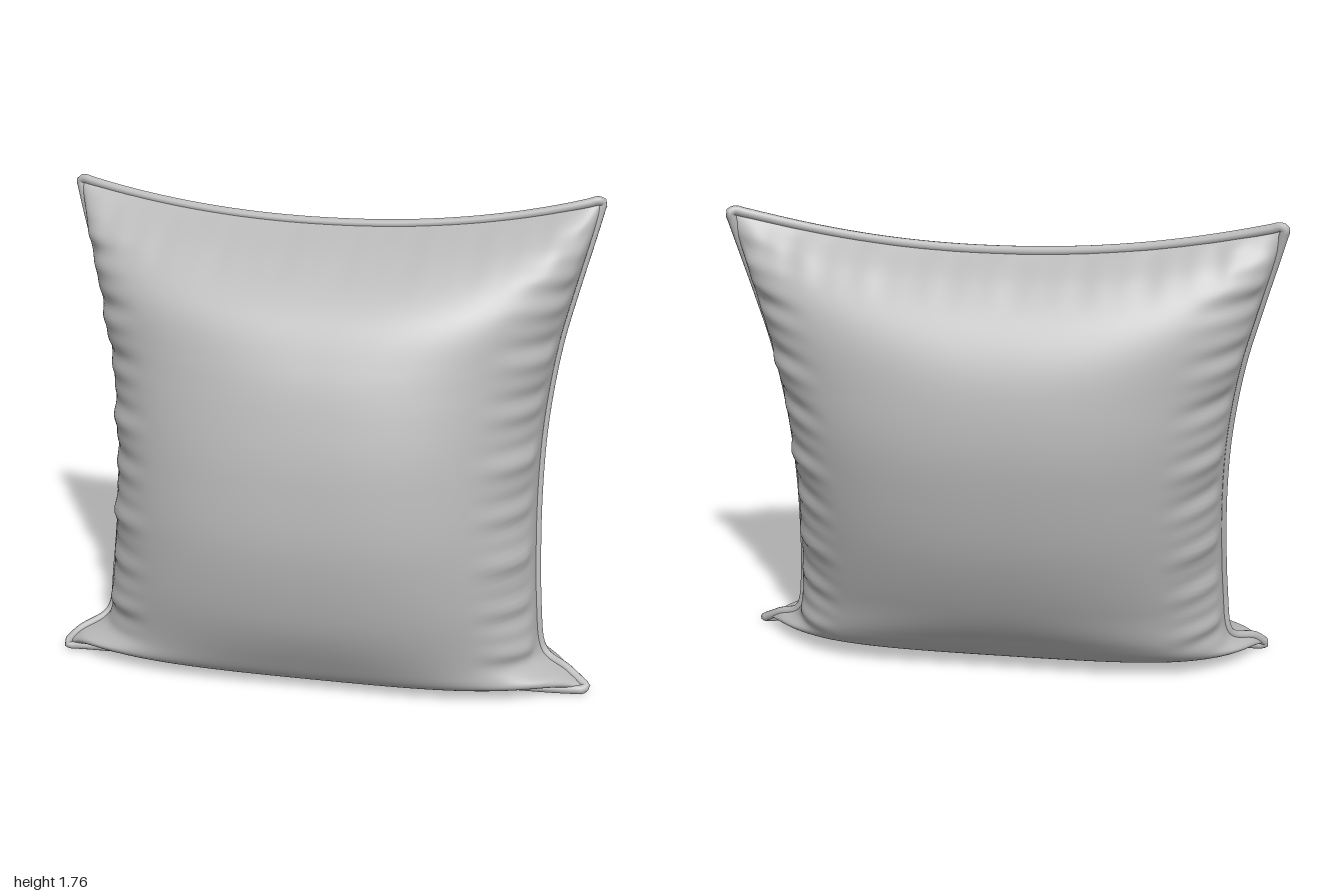
import * as THREE from 'three';

const V = (x, y, z) => new THREE.Vector3(x, y, z);
const curve = (pts) => new THREE.CatmullRomCurve3(pts.map((p) => V(...p)), false, 'catmullrom', 0.5);

// Side seam (x, y, z) from bottom corner to top corner; x is mirrored for the other side
const seamPts = [
  [0.985, 0.02, 0.15], [0.905, 0.07, 0.11], [0.81, 0.125, 0.07], [0.782, 0.3, 0.055],
  [0.765, 0.6, 0.0], [0.765, 0.85, -0.05], [0.78, 1.05, -0.085], [0.81, 1.25, -0.115],
  [0.855, 1.44, -0.14], [0.9, 1.615, -0.165], [0.932, 1.745, -0.188],
];
const rightSeam = curve(seamPts);
const leftSeam = curve(seamPts.map(([x, y, z], i) => [
  -x - (i === 0 ? 0 : 0.027), y, z + (i < 2 ? 0.045 : 0.02 * (i / 10)),
]));

// Middle profiles of both panels, from bottom seam to top seam
const frontMid = curve([
  [0, 0.027, 0.18], [0, 0.033, 0.31], [0, 0.135, 0.39], [0, 0.33, 0.475], [0, 0.6, 0.515], [0, 0.85, 0.495],
  [0, 1.05, 0.45], [0, 1.24, 0.38], [0, 1.41, 0.27], [0, 1.545, 0.08], [0, 1.625, -0.15],
]);
const backMid = curve([
  [0, 0.027, 0.18], [0, 0.034, -0.07], [0, 0.19, -0.23], [0, 0.36, -0.34], [0, 0.6, -0.44], [0, 0.85, -0.495],
  [0, 1.05, -0.51], [0, 1.25, -0.48], [0, 1.41, -0.405], [0, 1.54, -0.285], [0, 1.625, -0.15],
]);

const smooth = THREE.MathUtils.smoothstep;
const lerp = THREE.MathUtils.lerp;

// Irregular gathers made of a few sine waves
function ripple(t, phase) {
  return Math.sin(t * 37 + phase) * 0.45 + Math.sin(t * 71 + phase * 2.3) * 0.35 + Math.sin(t * 19 + phase * 0.7) * 0.4;
}

// Point on a panel: u runs -1..1 across, v runs 0..1 from bottom to top
function panelPoint(u, v, side) {
  const a = Math.abs(u);
  const edge = (u < 0 ? leftSeam : rightSeam).getPoint(v);
  const mid = (side > 0 ? frontMid : backMid).getPoint(v);
  // the stuffing fills the four corners more squarely than the middle
  const bottom = 1 - smooth(v, 0.05, 0.3);
  const square = 2.4 + 1.8 * smooth(v, 0.65, 0.95) + 1.6 * bottom;
  const full = Math.pow(Math.max(0, 1 - Math.pow(a, square)), 0.47) * (1 + 0.25 * a * a * bottom);
  const p = V(
    edge.x * a,
    lerp(edge.y, mid.y, 1 - Math.pow(a, 2.1)),
    lerp(edge.z, mid.z, full),
  );
  // gathers along the side seams and the top seam
  const sideEnv = smooth(a, 0.7, 0.93) * smooth(1 - a, 0, 0.04) * smooth(v, 0.05, 0.2) * smooth(1 - v, 0, 0.15);
  const w = ripple(p.y + 0.12 * a * side, side * 1.7 + Math.sign(u) * 0.9) * 0.008 * sideEnv;
  p.x += Math.sign(u) * w;
  p.z += side * w;
  const topEnv = smooth(v, 0.82, 0.95) * smooth(1 - v, 0, 0.04) * (1 - smooth(a, 0.8, 1));
  p.z += side * ripple(p.x * 0.8, side + 2) * 0.007 * topEnv;
  p.y = Math.max(p.y, 0.02);
  return p;
}

function panelGeometry(side) {
  const nu = 120, nv = 140, pos = [], index = [];
  for (let j = 0; j <= nv; j++) {
    for (let i = 0; i <= nu; i++) {
      const u = Math.sin((i / nu - 0.5) * Math.PI);
      pos.push(...panelPoint(u, j / nv, side).toArray());
    }
  }
  for (let j = 0; j < nv; j++) {
    for (let i = 0; i < nu; i++) {
      const a = j * (nu + 1) + i, b = a + 1, d = a + nu + 1, c = d + 1;
      if (side > 0) index.push(a, b, c, a, c, d);
      else index.push(a, c, b, a, d, c);
    }
  }
  const g = new THREE.BufferGeometry();
  g.setAttribute('position', new THREE.Float32BufferAttribute(pos, 3));
  g.setIndex(index);
  g.computeVertexNormals();
  return g;
}

// Piping that follows all four seams, with softly rounded corners
function pipingGeometry() {
  const pts = [], n = 40;
  const run = (point) => {
    for (let k = 0; k <= n; k++) pts.push(point(THREE.MathUtils.clamp(k, 0.4, n - 0.4) / n));
  };
  run((t) => panelPoint(1, t, 1));
  run((t) => panelPoint(1 - 2 * t, 1, 1));
  run((t) => panelPoint(-1, 1 - t, 1));
  run((t) => panelPoint(-1 + 2 * t, 0, 1).setY(0.017));
  return new THREE.TubeGeometry(new THREE.CatmullRomCurve3(pts, true), 800, 0.017, 10, true);
}

export function createModel() {
  const fabric = new THREE.MeshStandardMaterial({ color: 0xb8b8b8, side: THREE.DoubleSide });
  fabric.name = 'grey fabric';
  const group = new THREE.Group();
  group.name = 'cushion';
  const add = (name, geometry) => {
    const mesh = new THREE.Mesh(geometry, fabric);
    mesh.name = name;
    group.add(mesh);
  };
  add('frontPanel', panelGeometry(1));
  add('backPanel', panelGeometry(-1));
  add('piping', pipingGeometry());
  return group;
}
